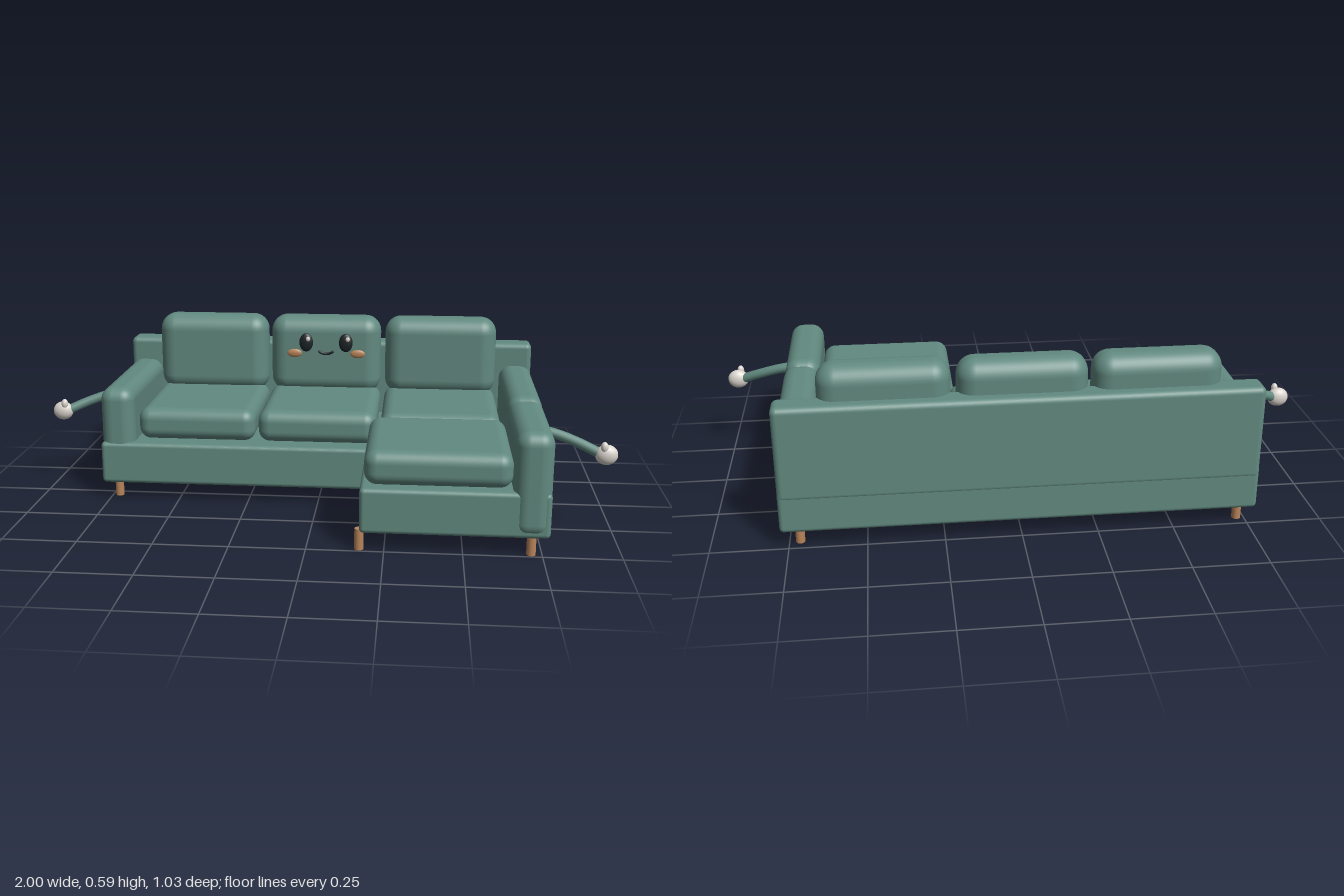
import * as THREE from 'three';
import { RoundedBoxGeometry } from 'three/addons/geometries/RoundedBoxGeometry.js';

const material = (name, color) => {
  const m = new THREE.MeshStandardMaterial({ color });
  m.name = name;
  return m;
};

export function createModel() {
  const fabric = material('greenFabric', 0x628a80);
  const wood = material('warmWood', 0xb8845a);
  const black = material('eyeBlack', 0x1c2427);
  const white = material('handWhite', 0xdad4cd);
  const model = new THREE.Group();
  model.name = 'sofa';

  const add = (name, geometry, mat, x = 0, y = 0, z = 0, parent = model) => {
    const mesh = new THREE.Mesh(geometry, mat);
    mesh.name = name;
    mesh.position.set(x, y, z);
    parent.add(mesh);
    return mesh;
  };
  // Rounded block given by its limits on each axis
  const block = (name, [x0, x1], [y0, y1], [z0, z1], radius) =>
    add(name, new RoundedBoxGeometry(x1 - x0, y1 - y0, z1 - z0, 5, radius), fabric,
      (x0 + x1) / 2, (y0 + y1) / 2, (z0 + z1) / 2);
  const ellipsoid = (name, mat, rx, ry, rz, x, y, z, parent) => {
    const geometry = new THREE.SphereGeometry(1, 24, 16).scale(rx, ry, rz);
    return add(name, geometry, mat, x, y, z, parent);
  };

  // Frame: base, chaise base, back and armrests
  block('mainBase', [-0.775, 0.775], [0.06, 0.21], [-0.51, 0.085], 0.015);
  block('chaiseBase', [0.17, 0.772], [0.06, 0.21], [0.04, 0.505], 0.015);
  block('backrest', [-0.775, 0.775], [0.17, 0.49], [-0.512, -0.418], 0.02);
  block('rightArmrest', [-0.775, -0.655], [0.1, 0.405], [-0.505, 0.08], 0.045);
  block('leftArmrest', [0.655, 0.775], [0.1, 0.405], [-0.505, 0.08], 0.045);
  block('chaiseArmrest', [0.652, 0.773], [0.062, 0.405], [0.076, 0.513], 0.045);

  // Three seat cushions with upright back cushions
  for (const x of [-0.438, -0.007, 0.428]) {
    block('seatCushion', [x - 0.21, x + 0.21], [0.21, 0.325], [-0.42, 0.042], 0.042);
    block('backCushion', [x - 0.209, x + 0.209], [0.3, 0.595], [-0.47, -0.334], 0.06);
  }
  block('chaiseCushion', [0.182, 0.652], [0.21, 0.325], [0.035, 0.485], 0.042);

  // Legs
  const legGeometry = new THREE.CylinderGeometry(0.015, 0.015, 0.07, 20);
  const legSpots = [[-0.725, -0.457], [0.715, -0.457], [-0.725, 0.035],
    [0.715, 0.035], [0.17, 0.48], [0.715, 0.48]];
  for (const [x, z] of legSpots) add('leg', legGeometry, wood, x, 0.035, z);

  // Face on the middle back cushion
  const face = new THREE.Group();
  face.name = 'face';
  face.position.x = -0.003;
  model.add(face);
  for (const s of [-1, 1]) {
    ellipsoid('eye', black, 0.026, 0.035, 0.012, s * 0.075, 0.503, -0.32, face);
    ellipsoid('eyeHighlight', white, 0.008, 0.009, 0.005, s * 0.075 + 0.008, 0.518, -0.309, face);
    ellipsoid('cheek', wood, 0.028, 0.016, 0.008, s * 0.12, 0.459, -0.331, face);
  }
  const smile = new THREE.QuadraticBezierCurve3(
    new THREE.Vector3(-0.025, 0.466, -0.328),
    new THREE.Vector3(0, 0.45, -0.328),
    new THREE.Vector3(0.025, 0.466, -0.328));
  add('mouth', new THREE.TubeGeometry(smile, 16, 0.005, 8), black, 0, 0, 0, face);
  for (const s of [-1, 1]) ellipsoid('mouthEnd', black, 0.005, 0.005, 0.005, s * 0.025, 0.466, -0.328, face);

  // Curved arms with mitten hands
  for (const [side, z] of [[-1, -0.16], [1, 0.22]]) {
    const limb = new THREE.Group();
    limb.name = side < 0 ? 'rightArm' : 'leftArm';
    model.add(limb);
    const path = new THREE.CatmullRomCurve3([
      new THREE.Vector3(side * 0.75, 0.337, z + 0.002),
      new THREE.Vector3(side * 0.8, 0.328, z + 0.01),
      new THREE.Vector3(side * 0.87, 0.306, z + 0.028),
      new THREE.Vector3(side * 0.945, 0.276, z + 0.055)]);
    add('sleeve', new THREE.TubeGeometry(path, 24, 0.017, 14), fabric, 0, 0, 0, limb);
    ellipsoid('hand', white, 0.037, 0.034, 0.025, side * 0.963, 0.274, z + 0.058, limb);
    ellipsoid('thumb', white, 0.012, 0.018, 0.012, side * 0.953, 0.303, z + 0.07, limb);
  }
  return model;
}
